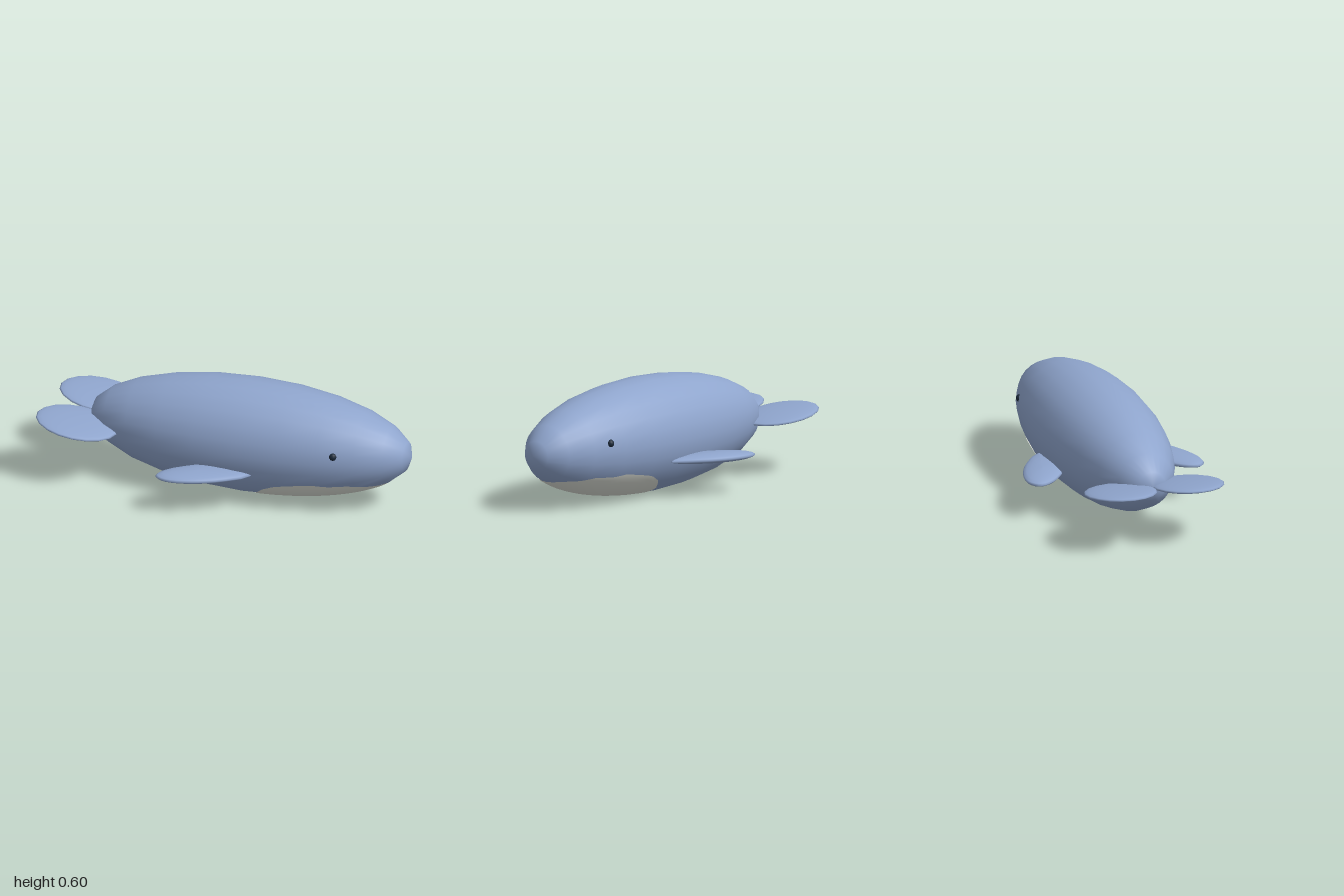
import * as THREE from 'three';

const CX = 0.115, CY = 0.302, RX = 0.885, R = 0.302;

const skin = new THREE.MeshStandardMaterial({ color: 0x8fa5cd });
skin.name = 'blueGreySkin';
const pale = new THREE.MeshStandardMaterial({ color: 0xdde0d8, side: THREE.DoubleSide });
pale.name = 'paleBelly';
const dark = new THREE.MeshStandardMaterial({ color: 0x1c2a3a });
dark.name = 'darkEye';

function part(name, geometry, material) {
  const mesh = new THREE.Mesh(geometry, material);
  mesh.name = name;
  return mesh;
}

// Grid surface: f(i, j) gives a point, i along rows, j along columns
function gridSurface(rows, cols, f) {
  const pos = [], index = [];
  for (let i = 0; i <= rows; i++) for (let j = 0; j <= cols; j++) pos.push(...f(i, j));
  for (let i = 0; i < rows; i++) for (let j = 0; j < cols; j++) {
    const a = i * (cols + 1) + j, b = a + cols + 1;
    index.push(a, b, a + 1, b, b + 1, a + 1);
  }
  const g = new THREE.BufferGeometry();
  g.setAttribute('position', new THREE.Float32BufferAttribute(pos, 3));
  g.setIndex(index);
  return g;
}

// Lens-shaped fin: an outline in (x, z) swelling to a given half thickness
function lens(outline, half) {
  const pts = new THREE.CatmullRomCurve3(outline.map(([x, z]) => new THREE.Vector3(x, 0, z)), true).getPoints(28);
  const c = new THREE.Vector3();
  pts.slice(1).forEach(p => c.addScaledVector(p, 1 / (pts.length - 1)));
  const rows = 10;
  const g = gridSurface(rows, pts.length - 1, (i, j) => {
    const a = Math.PI * i / rows, s = Math.max(Math.sin(a), 1e-4);
    const p = pts[j];
    return [c.x + (p.x - c.x) * s, half * Math.cos(a), c.z + (p.z - c.z) * s];
  });
  g.computeVertexNormals();
  return g;
}

// Pale chin and belly patch, lying just proud of the body
function bellyPatch() {
  // height of the patch edge along the body
  const edge = [[0.16, 0.008], [0.19, 0.045], [0.25, 0.1], [0.32, 0.135], [0.42, 0.155],
    [0.52, 0.17], [0.6, 0.162], [0.7, 0.172], [0.78, 0.16], [0.84, 0.162], [0.888, 0.155]];
  const rows = 24, cols = 20, k = 1.004;
  const g = gridSurface(rows, cols, (i, j) => {
    const x = 0.16 + 0.728 * i / rows;
    let n = 0;
    while (n < edge.length - 2 && edge[n + 1][0] < x) n++;
    const [x0, y0] = edge[n], [x1, y1] = edge[n + 1];
    const y = y0 + (y1 - y0) * (x - x0) / (x1 - x0);
    const r = R * Math.sqrt(1 - ((x - CX) / RX) ** 2);
    const a = Math.acos(Math.min(1, (CY - y) / r)) * (2 * j / cols - 1);
    return [CX + (x - CX) * k, CY - r * k * Math.cos(a), r * k * Math.sin(a)];
  });
  // outward ellipsoid normals
  const p = g.attributes.position, normals = [], v = new THREE.Vector3();
  for (let i = 0; i < p.count; i++) {
    v.set((p.getX(i) - CX) / RX ** 2, (p.getY(i) - CY) / R ** 2, p.getZ(i) / R ** 2).normalize();
    normals.push(v.x, v.y, v.z);
  }
  g.setAttribute('normal', new THREE.Float32BufferAttribute(normals, 3));
  // face the triangles outward, away from the body axis
  const idx = g.index.array, A = new THREE.Vector3(), B = new THREE.Vector3(), C = new THREE.Vector3();
  const m = (rows / 2 * cols + cols / 2) * 6;
  [A, B, C].forEach((q, n) => q.fromBufferAttribute(p, idx[m + n]));
  if (B.sub(A).cross(C.sub(A)).y > 0) {
    for (let t = 0; t < idx.length; t += 3) [idx[t], idx[t + 1]] = [idx[t + 1], idx[t]];
  }
  return g;
}

export function createModel() {
  const model = new THREE.Group();
  model.name = 'whale';

  // Body with its poles at nose and tail
  const bodyGeo = new THREE.SphereGeometry(1, 24, 12).rotateZ(-Math.PI / 2).scale(RX, R, R);
  const body = part('body', bodyGeo, skin);
  body.position.set(CX, CY, 0);
  model.add(body, part('belly', bellyPatch(), pale));

  const flipper = [[0.21, 0.28], [0.09, 0.39], [0, 0.44], [-0.08, 0.47], [-0.16, 0.486], [-0.22, 0.48],
    [-0.258, 0.45], [-0.258, 0.41], [-0.22, 0.35], [-0.15, 0.29], [-0.06, 0.23], [0.06, 0.19], [0.17, 0.21]];

  for (const side of [1, -1]) {
    const label = side > 0 ? 'right' : 'left';

    // reversing the order keeps the mirrored fin facing outward
    const outline = flipper.map(([x, z]) => [x, z * side]);
    if (side > 0) outline.reverse();
    const fin = part(label + 'Flipper', lens(outline, 0.027), skin);
    fin.position.y = 0.197;
    fin.geometry = outward(fin.geometry);

    const fluke = part(label + 'Fluke', new THREE.SphereGeometry(1, 18, 12).scale(0.22, 0.023, 0.188), skin);
    fluke.position.set(-0.782, 0.305, 0.186 * side);
    fluke.rotation.z = -0.14;

    const eye = part(label + 'Eye', new THREE.SphereGeometry(0.021, 12, 8), dark);
    eye.position.set(0.642, 0.35, 0.226 * side);
    model.add(fin, fluke, eye);
  }
  return model;
}

// Turn a closed geometry so that its faces point outward
function outward(g) {
  const p = g.attributes.position, idx = g.index.array;
  const a = new THREE.Vector3(), b = new THREE.Vector3(), c = new THREE.Vector3();
  let volume = 0;
  for (let t = 0; t < idx.length; t += 3) {
    a.fromBufferAttribute(p, idx[t]);
    b.fromBufferAttribute(p, idx[t + 1]);
    c.fromBufferAttribute(p, idx[t + 2]);
    volume += a.dot(b.cross(c));
  }
  if (volume < 0) {
    for (let t = 0; t < idx.length; t += 3) [idx[t], idx[t + 1]] = [idx[t + 1], idx[t]];
    g.computeVertexNormals();
  }
  return g;
}
